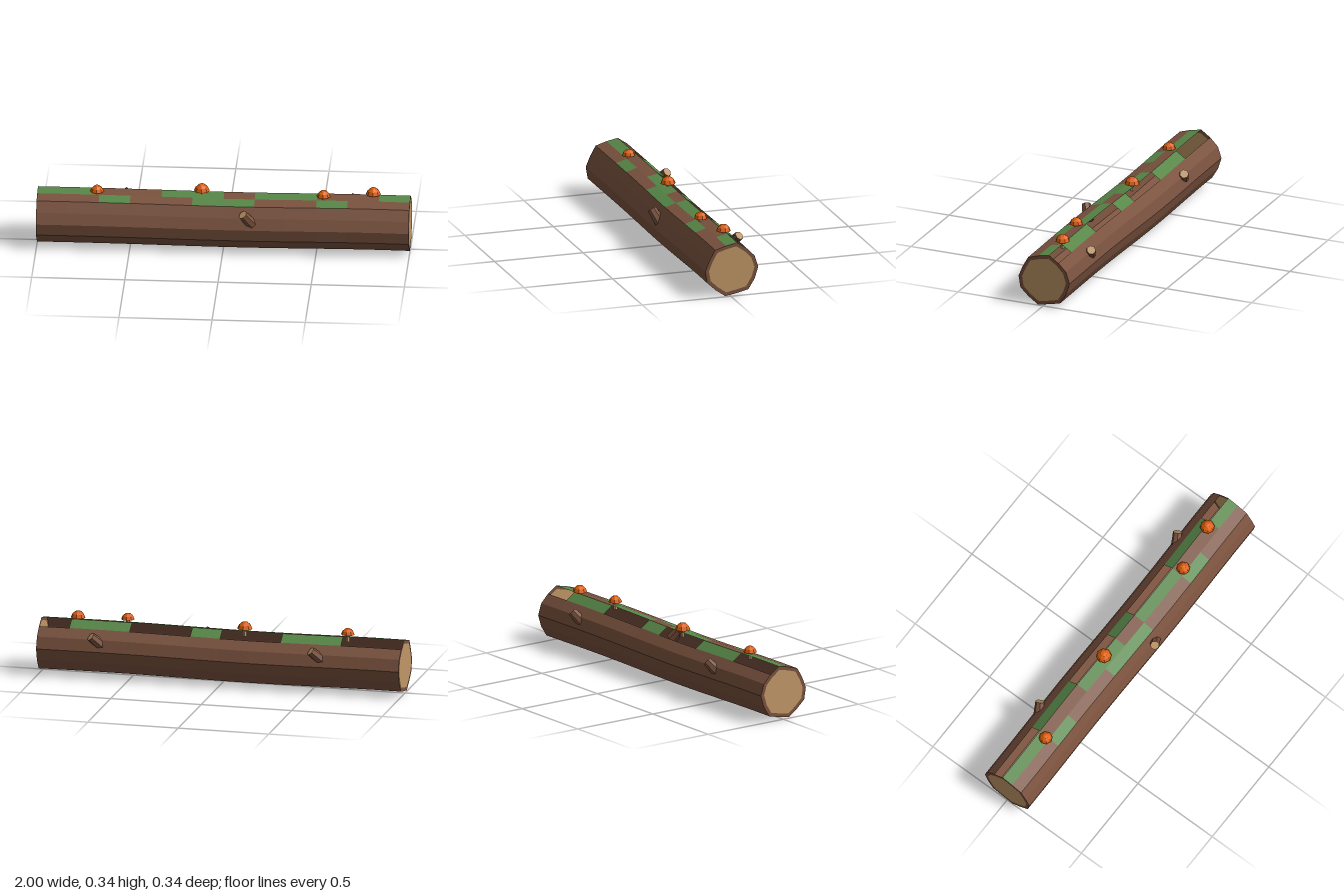
import * as THREE from 'three';

const mat = (name, color, side = THREE.FrontSide) => {
  const m = new THREE.MeshStandardMaterial({ color, side, flatShading: true });
  m.name = name;
  return m;
};

// Ridged cross-section: outer radius at each of 14 angles
const RADII = [0.147, 0.136, 0.146, 0.136, 0.149, 0.139, 0.146, 0.152, 0.147, 0.155, 0.14, 0.152, 0.141, 0.151];
const SIDES = RADII.length, SEGMENTS = 12, AXIS_Y = 0.156;

// Segments covered with moss, per side strip
const MOSS = { 2: [2, 5, 6, 9], 3: [0, 1, 4, 5, 7, 8, 11], 4: [2, 3, 6, 9, 10] };
const ROTTED_STRIP = 4; // bark is missing here wherever no moss grows

// Point on the gently wandering log surface
function logPoint(x, k, scale = 1) {
  const a = (k % SIDES) / SIDES * Math.PI * 2;
  const r = RADII[k % SIDES] * scale;
  const dy = 0.003 * Math.sin(x * 4 - 1.2);
  const dz = 0.003 * Math.sin(x * 5);
  return [x, AXIS_Y + dy + r * Math.sin(a), dz + r * Math.cos(a)];
}

function meshFrom(name, positions, material) {
  const g = new THREE.BufferGeometry();
  g.setAttribute('position', new THREE.Float32BufferAttribute(positions, 3));
  g.computeVertexNormals();
  const mesh = new THREE.Mesh(g, material);
  mesh.name = name;
  return mesh;
}

const quad = (list, a, b, c, d) => list.push(...a, ...b, ...c, ...a, ...c, ...d);

export function createModel() {
  const model = new THREE.Group();
  model.name = 'fallenLog';
  const bark = mat('bark brown', 0x7a523e, THREE.DoubleSide);
  const moss = mat('moss green', 0x578747, THREE.DoubleSide);
  const wood = mat('cut wood tan', 0xc09766, THREE.DoubleSide);
  const orange = mat('mushroom orange', 0xe0600c);
  const stemTan = mat('mushroom stem', 0xc9a878);

  // Bark and moss strips along the trunk
  const barkTris = [], mossTris = [], woodTris = [];
  for (let i = 0; i < SEGMENTS; i++) {
    const x0 = -1 + 2 * i / SEGMENTS, x1 = -1 + 2 * (i + 1) / SEGMENTS;
    for (let k = 0; k < SIDES; k++) {
      const mossy = MOSS[k]?.includes(i);
      if (k === ROTTED_STRIP && !mossy) continue;
      quad(mossy ? mossTris : barkTris,
        logPoint(x0, k), logPoint(x1, k), logPoint(x1, k + 1), logPoint(x0, k + 1));
    }
  }

  // Cut ends: bark ring around a wooden disc
  for (const x of [-1, 1]) {
    const centre = logPoint(x, 0, 0);
    for (let k = 0; k < SIDES; k++) {
      const [p, q] = x > 0 ? [k, k + 1] : [k + 1, k];
      quad(barkTris, logPoint(x, q), logPoint(x, p), logPoint(x, p, 0.86), logPoint(x, q, 0.86));
      woodTris.push(...centre, ...logPoint(x, q, 0.86), ...logPoint(x, p, 0.86));
    }
  }
  model.add(meshFrom('bark', barkTris, bark), meshFrom('mossPatches', mossTris, moss),
    meshFrom('cutEnds', woodTris, wood));

  // Broken branch stubs with pale tips
  const stubs = [
    [[0.16, 0.175, 0.112], [0.11, 0.247, 0.148]],
    [[-0.58, 0.175, -0.108], [-0.515, 0.243, -0.148]],
    [[0.635, 0.175, -0.108], [0.7, 0.243, -0.148]],
  ];
  for (const [from, to] of stubs) {
    const a = new THREE.Vector3(...from), b = new THREE.Vector3(...to);
    const axis = b.clone().sub(a);
    const geometry = new THREE.CylinderGeometry(0.025, 0.032, axis.length(), 7);
    const stub = new THREE.Mesh(geometry, [bark, wood, bark]);
    stub.name = 'branchStub';
    stub.position.copy(a).add(b).multiplyScalar(0.5);
    stub.quaternion.setFromUnitVectors(new THREE.Vector3(0, 1, 0), axis.normalize());
    model.add(stub);
  }

  // Mushrooms: x, z, cap radius, cap base height
  const mushrooms = [
    [-0.68, 0.015, 0.037, 0.305], [-0.12, -0.02, 0.042, 0.309],
    [0.535, 0.015, 0.037, 0.309], [0.8, -0.025, 0.04, 0.312],
  ];
  for (const [x, z, r, y] of mushrooms) {
    const profile = [[0, 0], [1, 0], [0.78, 0.5], [0.4, 0.84], [0, 0.92]]
      .map(([u, v]) => new THREE.Vector2(u * r, v * r));
    const cap = new THREE.Mesh(new THREE.LatheGeometry(profile, 8), orange);
    cap.name = 'mushroomCap';
    const stem = new THREE.Mesh(new THREE.CylinderGeometry(0.01, 0.012, 0.045, 6), stemTan);
    stem.name = 'mushroomStem';
    stem.position.y = -0.018;
    const mushroom = new THREE.Group();
    mushroom.name = 'mushroom';
    mushroom.position.set(x, y, z);
    mushroom.add(cap, stem);
    model.add(mushroom);
  }
  return model;
}
